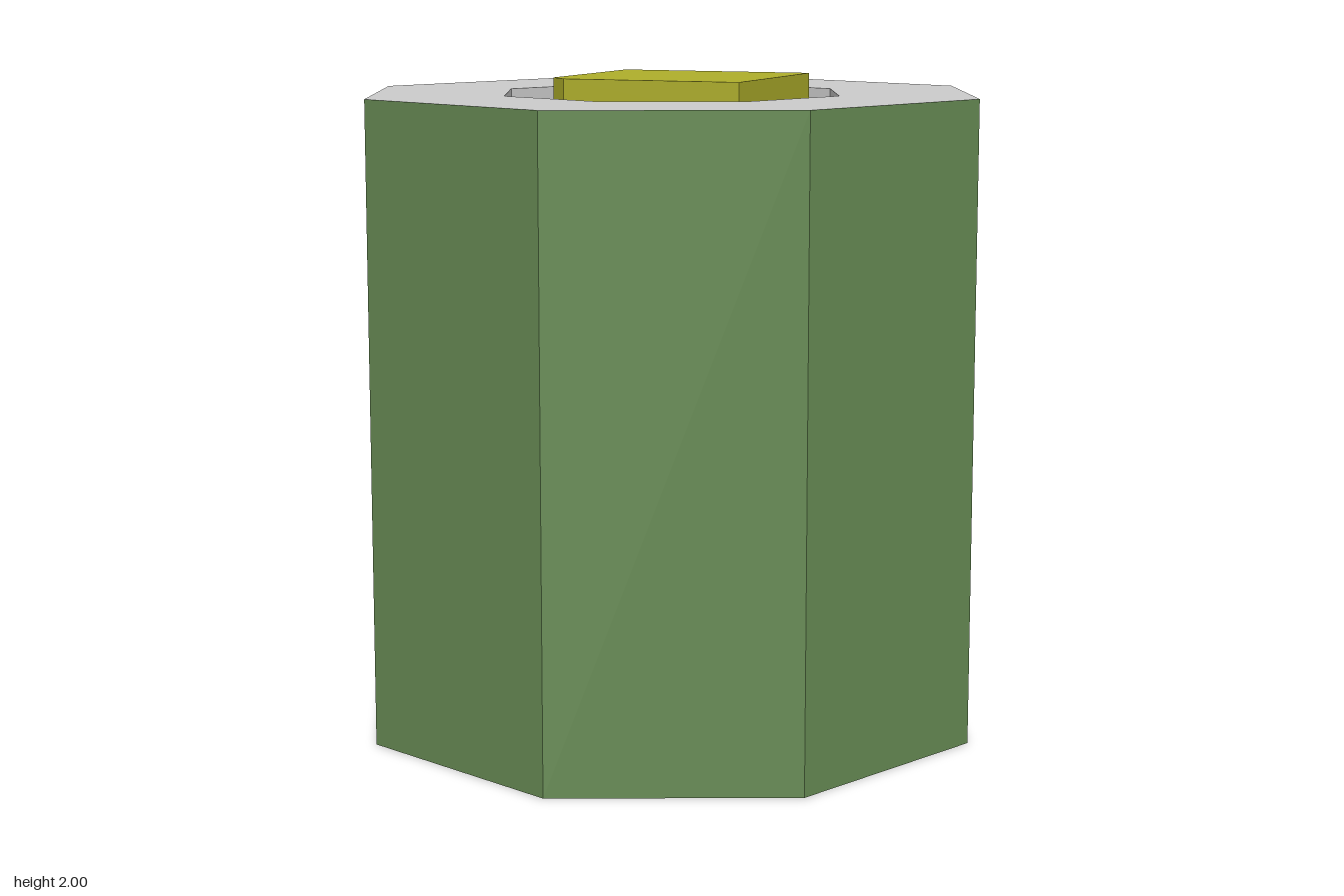
import * as THREE from 'three';

const SIDES = 8, R = 0.972, HOLE = 0.54, TOP = 1.95, FLOOR = 1.89;

function material(color, side = THREE.FrontSide) {
  return new THREE.MeshStandardMaterial({ color, side, flatShading: true });
}

export function createModel() {
  const group = new THREE.Group();
  const grey = material(0xcccccc);
  const add = (name, geometry, mat, y = 0) => {
    const mesh = new THREE.Mesh(geometry, mat);
    mesh.name = name;
    mesh.position.y = y;
    group.add(mesh);
    return mesh;
  };
  // Flat octagonal disc facing up or down
  const disc = (r, up) => new THREE.CircleGeometry(r, SIDES).rotateX(up ? -Math.PI / 2 : Math.PI / 2);

  // Octagonal body and its base
  add('bodyWall', new THREE.CylinderGeometry(R, R, TOP, SIDES, 1, true), material(0x678b54), TOP / 2);
  add('base', disc(R, false), grey);

  // Top rim with a shallow recess
  add('topRim', new THREE.RingGeometry(HOLE, R, SIDES).rotateX(-Math.PI / 2), grey, TOP);
  add('recessWall', new THREE.CylinderGeometry(HOLE, HOLE, TOP - FLOOR, SIDES, 1, true),
    material(0xcccccc, THREE.BackSide), (TOP + FLOOR) / 2);
  add('recessFloor', disc(HOLE, true), material(0xa37683), FLOOR);

  // Square block with one clipped corner; shape y becomes -z
  const outline = new THREE.Shape([
    [-0.23, -0.29], [0.33, -0.29], [0.33, 0.33], [-0.29, 0.33], [-0.29, -0.23],
  ].map(([x, y]) => new THREE.Vector2(x, y)));
  const block = new THREE.ExtrudeGeometry(outline, { depth: 2 - FLOOR, bevelEnabled: false });
  add('topBlock', block.rotateX(-Math.PI / 2), material(0xafaf2b), FLOOR);

  return group;
}
